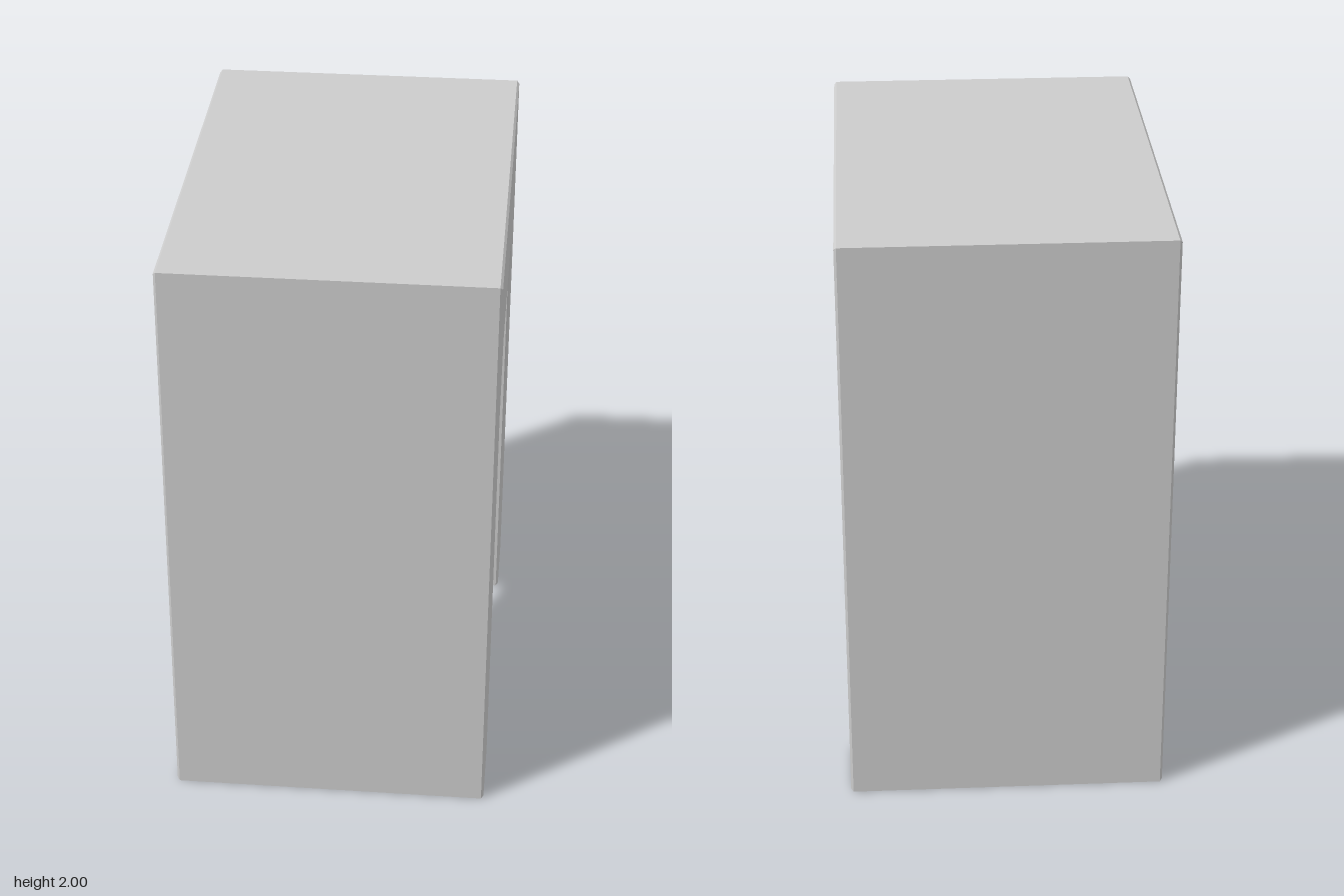
import * as THREE from 'three';
import { toCreasedNormals } from 'three/addons/utils/BufferGeometryUtils.js';

const material = new THREE.MeshStandardMaterial({ color: 0xcccccc });

// Extrudes a z/y outline along x between x0 and x1, with softened edges
function slab(name, shape, x0, x1, bevel) {
  const geometry = new THREE.ExtrudeGeometry(shape, {
    depth: x1 - x0 - 2 * bevel,
    curveSegments: 16,
    bevelThickness: bevel,
    bevelSize: bevel,
    bevelOffset: -bevel,
    bevelSegments: 1,
  });
  geometry.translate(0, 0, x0 + bevel);
  geometry.rotateY(Math.PI / 2);
  const mesh = new THREE.Mesh(toCreasedNormals(geometry, 0.45), material);
  mesh.name = name;
  return mesh;
}

// Mirrors the right half of an outline to give the whole of it
function mirrored(half) {
  const left = half.map(([z, y]) => [-z, y]).reverse();
  return [...half, ...left].map(([z, y]) => new THREE.Vector2(z, y));
}

export function createModel() {
  const group = new THREE.Group();
  group.name = 'archway';

  // Block with a chamfered passage running through it
  const block = new THREE.Shape(mirrored([
    [0.35, 1.58], [0.49, 1.39], [0.49, 0], [0.755, 0], [0.755, 2],
  ]));
  group.add(slab('wallBlock', block, -0.53, 0.53, 0.008));

  // Inner arch frame, its outside sunk a little into the block
  const arch = new THREE.Shape();
  arch.moveTo(0.4, 0);
  arch.lineTo(0.52, 0);
  arch.lineTo(0.52, 1.4);
  arch.lineTo(0.37, 1.61);
  arch.lineTo(-0.37, 1.61);
  arch.lineTo(-0.52, 1.4);
  arch.lineTo(-0.52, 0);
  arch.lineTo(-0.4, 0);
  arch.lineTo(-0.4, 1.1);
  arch.absellipse(0, 1.1, 0.4, 0.44, Math.PI, 0, true);
  arch.lineTo(0.4, 0);
  group.add(slab('innerArch', arch, -0.09, 0.16, 0.015));

  return group;
}
